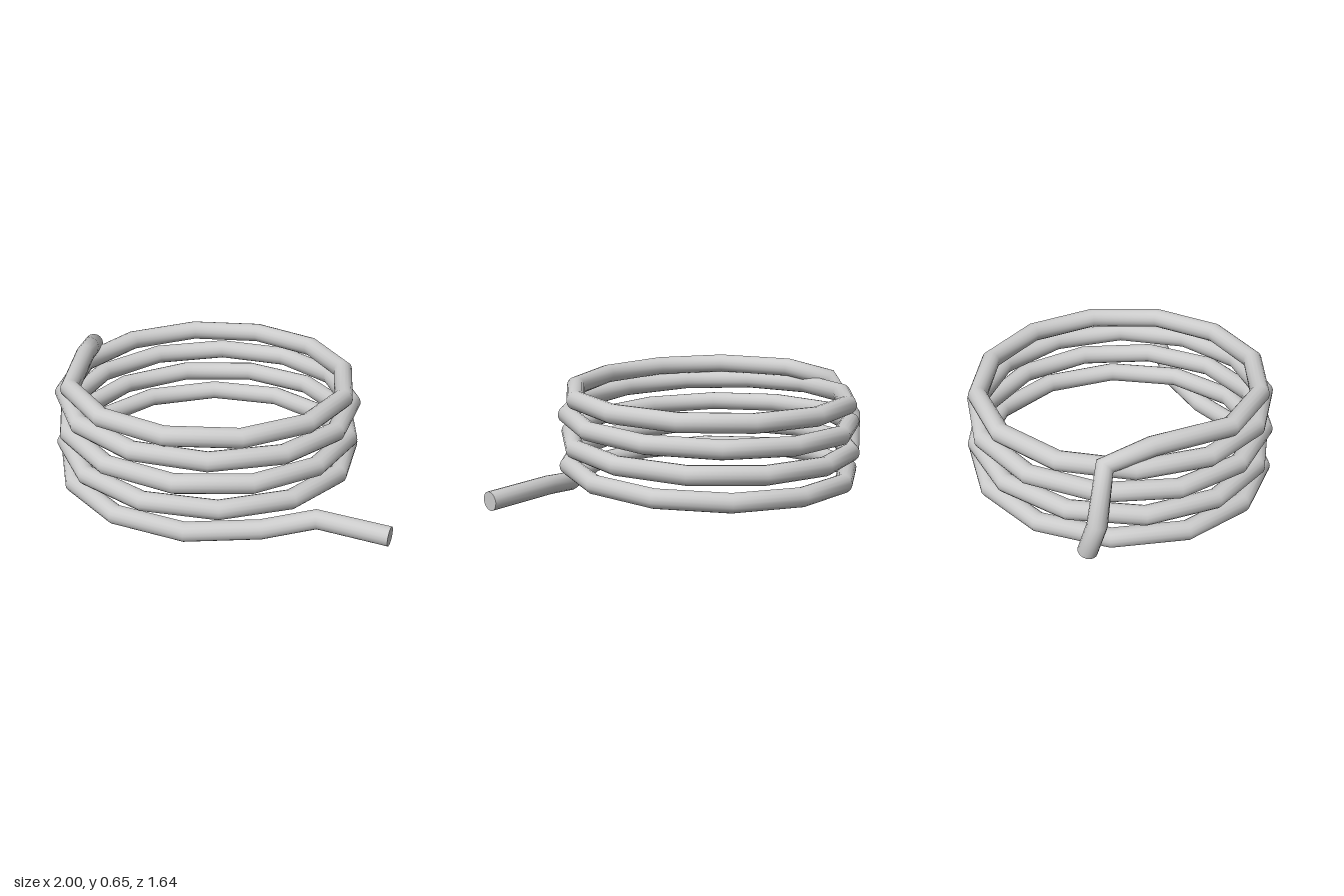
import * as THREE from 'three';

const WIRE = 0.051, SIDES = 16;
const deg = THREE.MathUtils.degToRad;

// Straight-segment path: one tube ring per point, set on the bisector of each bend
class WirePath extends THREE.Curve {
  constructor(points) { super(); this.points = points; }
  index(u) { return Math.round(u * (this.points.length - 1)); }
  getPointAt(u, target = new THREE.Vector3()) { return target.copy(this.points[this.index(u)]); }
  getTangentAt(u, target = new THREE.Vector3()) {
    const p = this.points, i = this.index(u);
    const a = p[Math.max(i - 1, 0)], b = p[i], c = p[Math.min(i + 1, p.length - 1)];
    const before = b.clone().sub(a).normalize(), after = c.clone().sub(b).normalize();
    return target.copy(before).add(after).normalize();
  }
}

function wirePoints() {
  // Lower leg
  const points = [new THREE.Vector3(0.99, 0.09, 0.64), new THREE.Vector3(0.615, 0.102, 0.573)];
  // Coil rising from the front right; the top turn is flatter and a little tighter
  const steps = 53, step = 28.95, start = 57.4;
  for (let i = 0; i <= steps; i++) {
    const angle = start + i * step;
    const turns = (angle - 90) / 360;
    const top = THREE.MathUtils.smoothstep(turns, 3.1, 3.7);
    const radius = 0.77 - 0.025 * top;
    const y = 0.065 + 0.1345 * turns - 0.045 * Math.max(0, turns - 3.4);
    points.push(new THREE.Vector3(
      -0.07 + radius * Math.cos(deg(angle)), y, radius * Math.sin(deg(angle))));
  }
  // Upper tail: leaves the coil, bends outward and then down
  points.push(
    new THREE.Vector3(-0.78, 0.6, -0.08),
    new THREE.Vector3(-0.81, 0.56, -0.33),
    new THREE.Vector3(-0.947, 0.33, -0.415),
    new THREE.Vector3(-0.885, 0.14, -0.445));
  return points;
}

export function createModel() {
  const group = new THREE.Group();
  group.name = 'torsionSpring';
  const material = new THREE.MeshStandardMaterial({ color: 0xcccccc });

  const points = wirePoints();
  const path = new WirePath(points);
  const wire = new THREE.Mesh(
    new THREE.TubeGeometry(path, points.length - 1, WIRE, SIDES, false), material);
  wire.name = 'coiledWire';
  group.add(wire);

  // Flat discs closing both ends of the wire
  for (const [name, u, sign] of [['legEnd', 0, -1], ['tailEnd', 1, 1]]) {
    const cap = new THREE.Mesh(new THREE.CircleGeometry(WIRE, SIDES), material);
    cap.name = name;
    cap.position.copy(path.getPointAt(u));
    cap.quaternion.setFromUnitVectors(
      new THREE.Vector3(0, 0, 1), path.getTangentAt(u).multiplyScalar(sign));
    group.add(cap);
  }
  return group;
}
